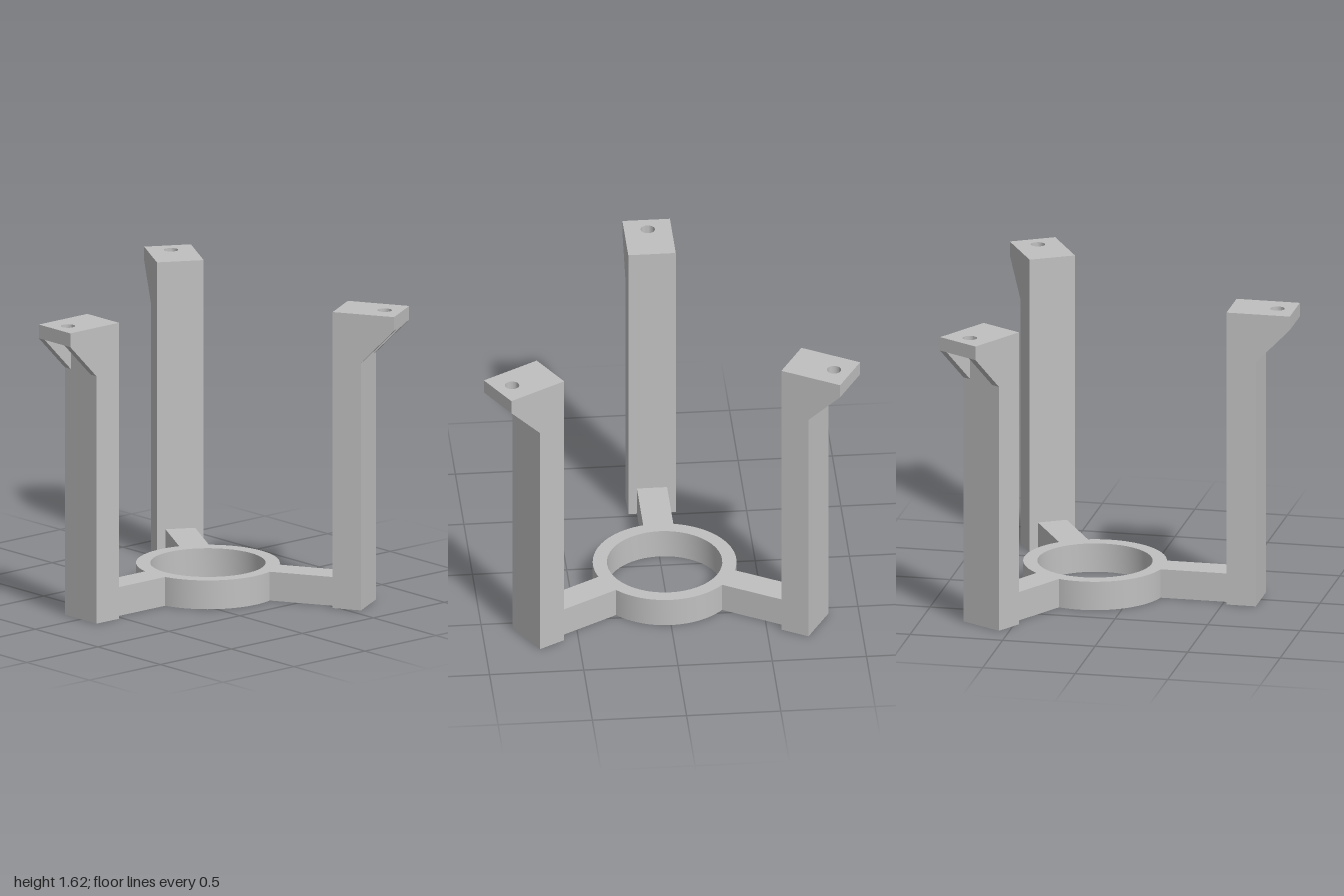
import * as THREE from 'three';
import { toCreasedNormals } from 'three/addons/utils/BufferGeometryUtils.js';

const CENTER_Z = -0.216;                      // ring axis
const RING_OUT = 0.38, RING_IN = 0.305;
const BASE_H = 0.157, ARM_HALF = 0.08;
const POST_IN = 0.738, POST_OUT = 0.896, TIP = 1.08; // distances from the ring axis
const HALF_W = 0.126, TOP = 1.615, PLATE_Y = 1.54, GUSSET_Y = 1.35, GUSSET_T = 0.047;

const extrude = (shape, depth) => toCreasedNormals(
  new THREE.ExtrudeGeometry(shape, { depth, bevelEnabled: false, curveSegments: 24 }), 0.5);

function circleHole(x, y, r) {
  const path = new THREE.Path();
  path.absarc(x, y, r, 0, Math.PI * 2, true);
  return path;
}

// Ring and its three arms as one outline
function baseGeometry() {
  const shape = new THREE.Shape();
  const half = Math.asin(ARM_HALF / RING_OUT);
  for (let i = 0; i < 3; i++) {
    const a = -Math.PI / 2 + i * Math.PI * 2 / 3;
    const c = Math.cos(a), s = Math.sin(a);
    const corner = side => [c * POST_IN - s * side, s * POST_IN + c * side];
    if (i === 0) shape.moveTo(...corner(-ARM_HALF));
    else shape.lineTo(...corner(-ARM_HALF));
    shape.lineTo(...corner(ARM_HALF));
    shape.absarc(0, 0, RING_OUT, a + half, a + Math.PI * 2 / 3 - half, false);
  }
  shape.lineTo(-ARM_HALF, -RING_OUT * Math.cos(half));
  shape.holes.push(circleHole(0, 0, RING_IN));
  return extrude(shape, BASE_H).rotateX(-Math.PI / 2);
}

// Overhanging plate with a screw hole
function plateGeometry() {
  const shape = new THREE.Shape([
    [-HALF_W, -TIP], [HALF_W, -TIP], [HALF_W, -POST_OUT], [-HALF_W, -POST_OUT],
  ].map(p => new THREE.Vector2(...p)));
  shape.holes.push(circleHole(0, -0.986, 0.038));
  return extrude(shape, TOP - PLATE_Y).rotateX(-Math.PI / 2).translate(0, PLATE_Y, 0);
}

// Triangular brace, profile in the z-y plane
function gussetGeometry() {
  const shape = new THREE.Shape([
    [-POST_OUT, GUSSET_Y], [-POST_OUT, PLATE_Y], [-TIP, PLATE_Y],
  ].map(p => new THREE.Vector2(...p)));
  return extrude(shape, GUSSET_T).rotateY(Math.PI / 2);
}

export function createModel() {
  const model = new THREE.Group();
  model.name = 'threePostStand';
  const grey = new THREE.MeshStandardMaterial({ color: 0xc0c0c0 });
  grey.name = 'grey';

  const add = (parent, name, geometry) => {
    const mesh = new THREE.Mesh(geometry, grey);
    mesh.name = name;
    parent.add(mesh);
    return mesh;
  };

  const stand = new THREE.Group();
  stand.name = 'stand';
  stand.position.z = CENTER_Z;
  model.add(stand);
  add(stand, 'ringWithArms', baseGeometry());

  const postGeo = new THREE.BoxGeometry(HALF_W * 2, TOP, POST_OUT - POST_IN)
    .translate(0, TOP / 2, (POST_IN + POST_OUT) / 2);
  const plateGeo = plateGeometry();
  const gussetGeo = gussetGeometry();

  // Front post, then the two rear posts
  ['frontPost', 'rearLeftPost', 'rearRightPost'].forEach((name, i) => {
    const leg = new THREE.Group();
    leg.name = name;
    leg.rotation.y = i * Math.PI * 2 / 3;
    add(leg, 'post', postGeo);
    add(leg, 'topPlate', plateGeo);
    add(leg, 'leftGusset', gussetGeo).position.x = HALF_W - GUSSET_T;
    add(leg, 'rightGusset', gussetGeo).position.x = -HALF_W;
    stand.add(leg);
  });
  return model;
}
